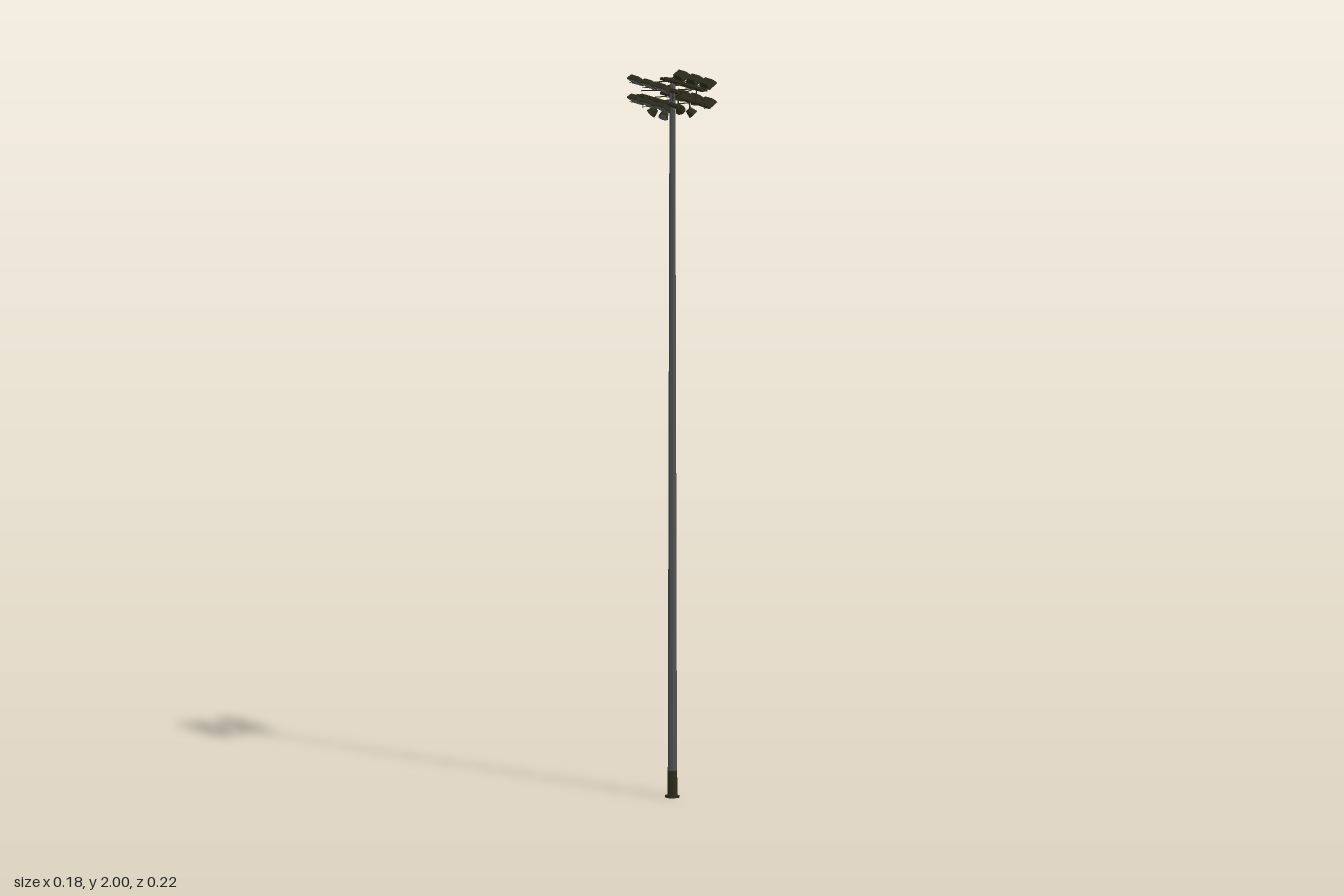
import * as THREE from 'three';

const mat = (name, color) => {
  const m = new THREE.MeshStandardMaterial({ color });
  m.name = name;
  m.flatShading = true;
  return m;
};

export function createModel() {
  const steel = mat('poleSteel', 0x505354);
  const olive = mat('darkOlive', 0x2e2c1c);
  const glass = mat('lampGlass', 0x66686a);
  const root = new THREE.Group();
  root.name = 'floodlightMast';

  const add = (parent, name, geo, material, x = 0, y = 0, z = 0) => {
    const m = new THREE.Mesh(geo, material);
    m.name = name;
    m.position.set(x, y, z);
    parent.add(m);
    return m;
  };

  // Thin square bar between two points
  const bar = (parent, name, a, b, t = 0.003) => {
    const p = new THREE.Vector3(...a), q = new THREE.Vector3(...b);
    const m = add(parent, name, new THREE.BoxGeometry(t, t, p.distanceTo(q)), olive);
    m.position.copy(p).add(q).multiplyScalar(0.5);
    m.lookAt(q);
    return m;
  };

  // Box whose top is narrowed to a smaller rectangle
  const frustum = (w, h, d, topW, topD) => {
    const g = new THREE.BoxGeometry(w, h, d);
    const p = g.attributes.position;
    for (let i = 0; i < p.count; i++) {
      if (p.getY(i) > 0) p.setXYZ(i, p.getX(i) * topW / w, p.getY(i), p.getZ(i) * topD / d);
    }
    g.computeVertexNormals();
    return g;
  };

  // Pole, base sleeve and chamfered foot plate
  const pole = add(root, 'pole', new THREE.CylinderGeometry(0.008, 0.0128, 1.91, 8), steel, 0, 1.025);
  pole.rotation.y = Math.PI / 8;
  const sleeve = add(root, 'baseSleeve', new THREE.CylinderGeometry(0.0132, 0.0142, 0.075, 8), olive, 0, 0.0375);
  sleeve.rotation.y = Math.PI / 8;
  const r = 0.017, c = 0.010;
  const plate = new THREE.Shape([[r, -c], [r, c], [c, r], [-c, r], [-r, c], [-r, -c], [-c, -r], [c, -r]]
    .map(([x, y]) => new THREE.Vector2(x, y)));
  add(root, 'footPlate', new THREE.ExtrudeGeometry(plate, { depth: 0.006, bevelEnabled: false }), olive)
    .rotation.x = -Math.PI / 2;

  const head = new THREE.Group();
  head.name = 'lampHead';
  head.position.z = -0.002;
  root.add(head);

  // Floodlight aimed outward and down, with its U bracket
  const floodlight = (parent, y, z) => {
    const lamp = new THREE.Group();
    lamp.name = 'floodlight';
    lamp.position.set(0.0755, y, z);
    lamp.rotation.z = 0.61;
    add(lamp, 'housing', frustum(0.03, 0.012, 0.048, 0.022, 0.04), olive, 0, 0.01);
    add(lamp, 'rim', new THREE.BoxGeometry(0.03, 0.004, 0.048), olive, 0, 0.002);
    add(lamp, 'lens', new THREE.BoxGeometry(0.026, 0.001, 0.044), glass, 0, -0.0004);
    parent.add(lamp);
    for (const e of [-1, 1]) {
      bar(parent, 'bracketArm', [0.044, y - 0.004, z + e * 0.03], [0.0625, y - 0.004, z + e * 0.03], 0.002);
      bar(parent, 'bracketEar', [0.0615, y - 0.004, z + e * 0.03], [0.07, y + 0.005, z + e * 0.023], 0.002);
    }
    bar(parent, 'bracketBar', [0.0615, y - 0.004, z - 0.03], [0.0615, y - 0.004, z + 0.03], 0.002);
  };

  // Round spotlight hung below the lower rails
  const spotlight = (parent, e) => {
    const spot = new THREE.Group();
    spot.name = 'spotlight';
    spot.position.set(0.042, 1.904, e * 0.03);
    spot.rotation.set(-e * 0.5, 0, 0.6);
    add(spot, 'can', new THREE.CylinderGeometry(0.009, 0.0145, 0.02, 8), olive);
    add(spot, 'lens', new THREE.CylinderGeometry(0.0125, 0.0125, 0.001, 8), glass, 0, -0.0104);
    parent.add(spot);
    bar(parent, 'hanger', [0.038, 1.938, e * 0.03], [0.038, 1.908, e * 0.03]);
  };

  // The two sides of the head are half-turn copies
  for (const turn of [0, Math.PI]) {
    const side = new THREE.Group();
    side.name = turn ? 'rightSide' : 'leftSide';
    side.rotation.y = turn;
    head.add(side);
    for (const [railY, lampY] of [[1.976, 1.981], [1.936, 1.928]]) {
      for (const x of [0.032, 0.044]) {
        add(side, 'rail', new THREE.BoxGeometry(0.008, 0.007, 0.222), olive, x, railY);
      }
      for (const z of [-0.071, 0, 0.071]) floodlight(side, lampY, z);
      bar(side, 'centreArm', [0, railY, 0], [0.046, railY, 0], 0.004);
    }
    for (const e of [-1, 1]) {
      spotlight(side, e);
      bar(side, 'diagonalBrace', [0.004, 1.945, e * 0.006], [0.032, 1.974, e * 0.063], 0.0025);
      bar(side, 'post', [0.038, 1.936, e * 0.066], [0.038, 1.976, e * 0.066], 0.0025);
    }
  }

  // Cross ties between the two sides
  for (const e of [-1, 1]) {
    bar(head, 'upperTie', [-0.034, 1.976, e * 0.069], [0.034, 1.976, e * 0.069]);
    bar(head, 'lowerTie', [-0.034, 1.936, e * 0.06], [0.034, 1.936, e * 0.06], 0.0025);
  }
  return root;
}
